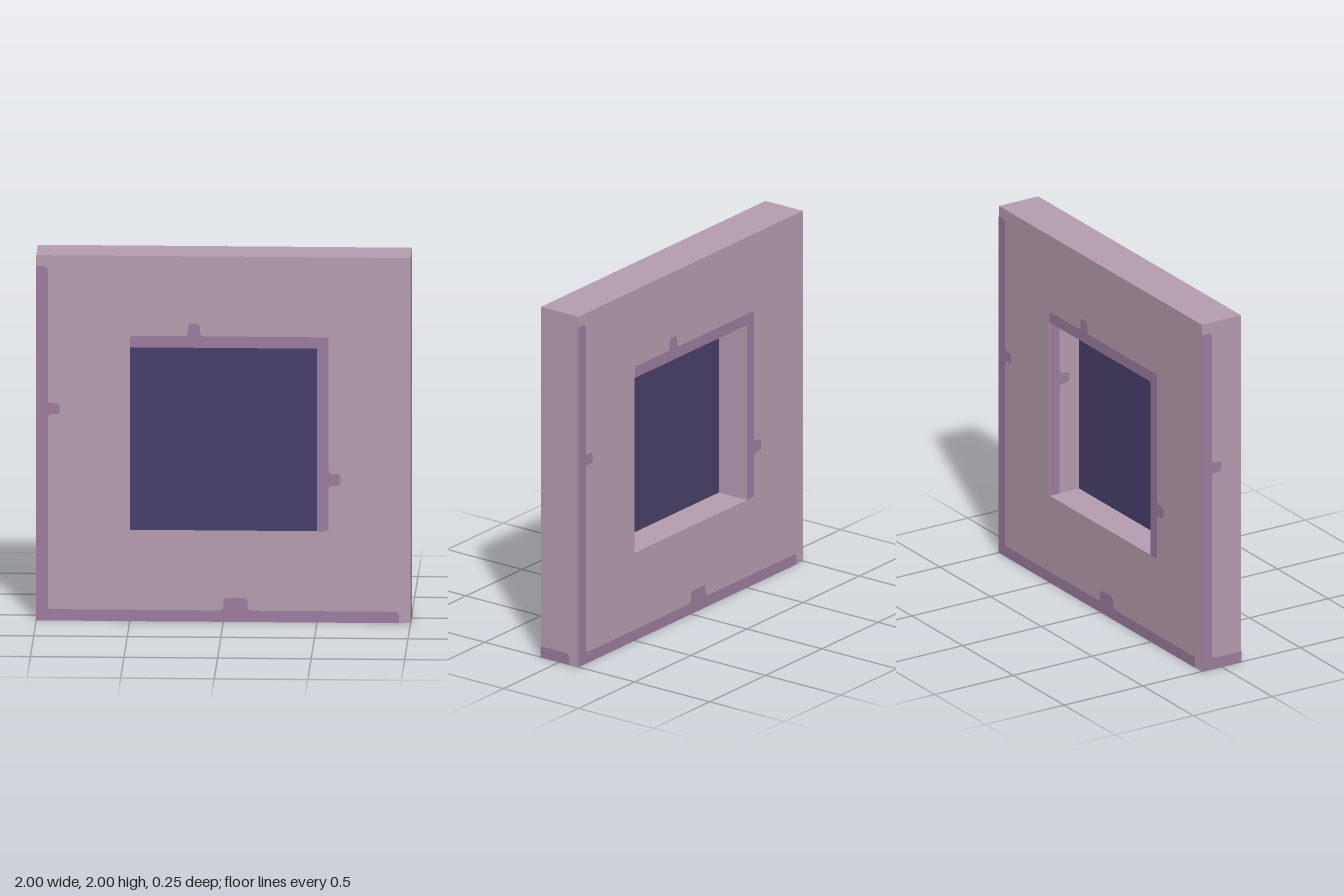
import * as THREE from 'three';

const DEPTH = 0.25, HALF = DEPTH / 2, W = 0.0625, LIFT = 0.002;

// Flat outline from [x, y, square?] corners; corners are rounded unless marked square
function outline(points, r = 0.022) {
  const shape = new THREE.Shape();
  const n = points.length;
  points.forEach(([x, y, square], i) => {
    const p = new THREE.Vector2(x, y);
    const toward = (q) => p.clone().add(new THREE.Vector2(q[0], q[1]).sub(p).setLength(square ? 0 : r));
    const a = toward(points[(i + n - 1) % n]);
    const b = toward(points[(i + 1) % n]);
    if (i === 0) shape.moveTo(a.x, a.y); else shape.lineTo(a.x, a.y);
    if (!square) shape.quadraticCurveTo(x, y, b.x, b.y);
  });
  shape.closePath();
  return new THREE.ShapeGeometry(shape, 4);
}

export function createModel() {
  const group = new THREE.Group();
  const material = (name, color) => {
    const m = new THREE.MeshStandardMaterial({ color });
    m.name = name;
    return m;
  };
  const plaster = material('dusty mauve', 0xb59cae);
  const edging = material('purple edging', 0x9b7c9d);
  const glass = material('dark indigo', 0x483f69);

  const add = (name, geometry, mat, parent = group) => {
    const mesh = new THREE.Mesh(geometry, mat);
    mesh.name = name;
    parent.add(mesh);
    return mesh;
  };

  // Square slab with a square window opening
  const slab = new THREE.Shape([[-1, 0], [1, 0], [1, 2], [-1, 2]].map(([x, y]) => new THREE.Vector2(x, y)));
  slab.holes.push(new THREE.Path([[-0.5, 0.5], [-0.5, 1.5], [0.5, 1.5], [0.5, 0.5]].map(([x, y]) => new THREE.Vector2(x, y))));
  const frame = new THREE.ExtrudeGeometry(slab, { depth: DEPTH, bevelEnabled: false });
  frame.translate(0, 0, -HALF);
  add('wallFrame', frame, plaster);

  // Window pane, flush with the front and recessed at the back
  add('windowPane', new THREE.BoxGeometry(1, 1, W).translate(0, 1, HALF - W / 2), glass);

  // L-shaped edging along the left and bottom, with one tab on each arm
  const outerEdge = outline([
    [-1, 0, 1], [1 - W, 0, 1], [1 - W, W], [0.13, W], [0.13, 0.13], [0, 0.13], [0, W],
    [-1 + W, W], [-1 + W, 1.13], [-0.875, 1.13], [-0.875, 1.19], [-1 + W, 1.19],
    [-1 + W, 1.94], [-1, 1.94, 1],
  ]);

  // L-shaped edging over the top and right of the opening
  const windowEdge = outline([
    [0.5, 0.5, 1], [0.5 + W, 0.5], [0.5 + W, 0.75], [0.625, 0.75], [0.625, 0.815], [0.5 + W, 0.815],
    [0.5 + W, 1.5 + W], [-0.125, 1.5 + W], [-0.125, 1.63], [-0.19, 1.63], [-0.19, 1.5 + W],
    [-0.5, 1.5 + W], [-0.5, 1.5, 1], [0.5, 1.5, 1],
  ]);

  // The same edging on front and back
  for (const [name, turn] of [['front', 0], ['back', Math.PI]]) {
    const face = new THREE.Group();
    face.name = name + 'Edging';
    face.rotation.y = turn;
    add(name + 'OuterEdge', outerEdge, edging, face).position.z = HALF + LIFT;
    add(name + 'WindowEdge', windowEdge, edging, face).position.z = HALF + LIFT;
    group.add(face);
  }

  // Foot strip on the model's left end
  const foot = add('leftEndFoot', outline([[-HALF, 0, 1], [W, 0, 1], [W, W], [-HALF, W, 1]]), edging);
  foot.rotation.y = Math.PI / 2;
  foot.position.x = 1 + LIFT;

  // Upright and foot strip with a tab on the model's right end
  const e = -HALF + W;
  const upright = add('rightEndEdge', outline([
    [-HALF, 0, 1], [HALF, 0, 1], [HALF, W, 1], [e, W], [e, 1.13], [0, 1.13], [0, 1.19], [e, 1.19], [e, 1.94], [-HALF, 1.94, 1],
  ]), edging);
  upright.rotation.y = -Math.PI / 2;
  upright.position.x = -1 - LIFT;

  // Upright strip with a tab inside the opening
  const jamb = add('jambEdge', outline([
    [-HALF, 0.5, 1], [e, 0.5, 1], [e, 1.13], [0, 1.13], [0, 1.19], [e, 1.19], [e, 1.5, 1], [-HALF, 1.5, 1],
  ]), edging);
  jamb.rotation.y = -Math.PI / 2;
  jamb.position.x = 0.5 - LIFT;

  return group;
}
